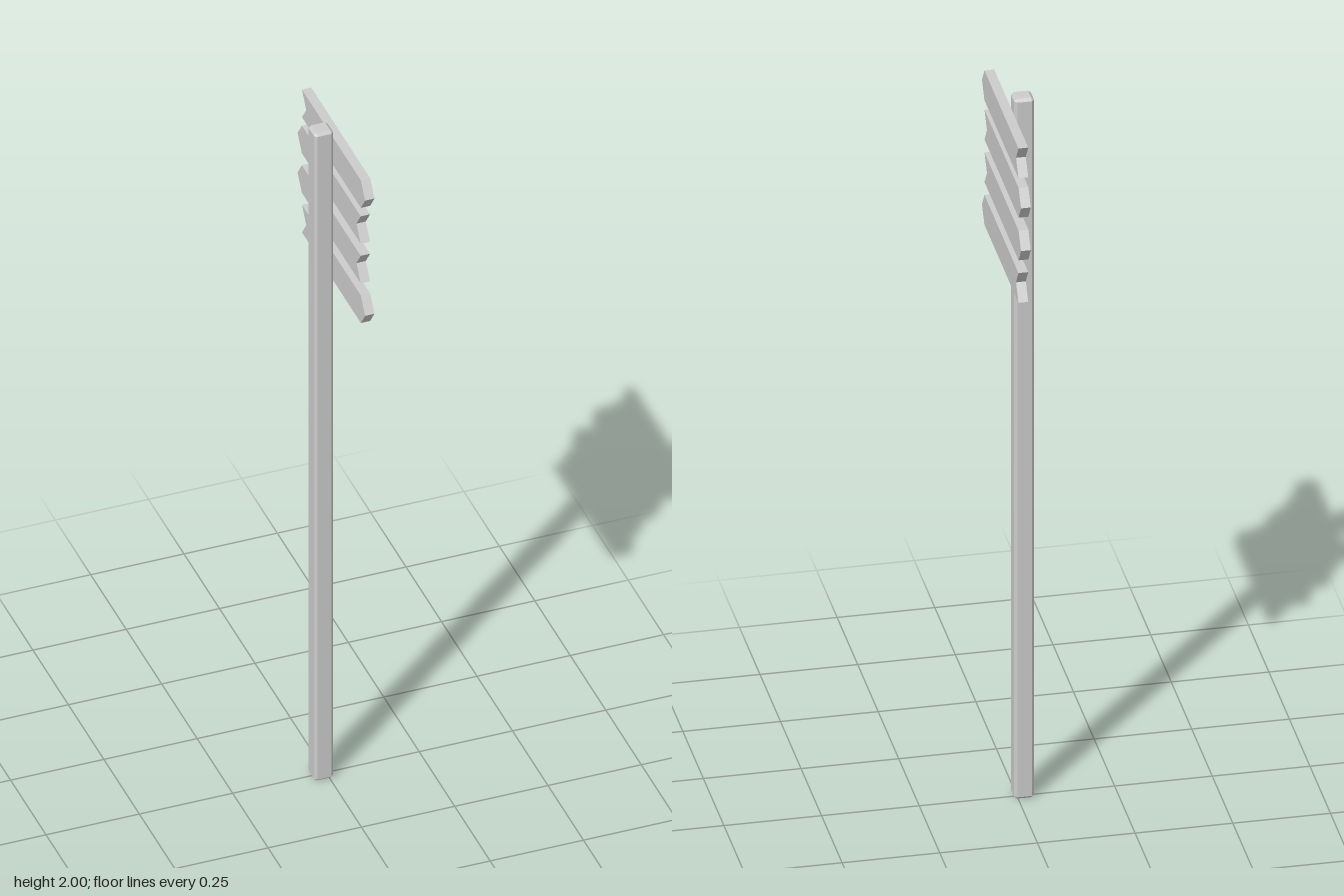
import * as THREE from 'three';
import { ConvexGeometry } from 'three/addons/geometries/ConvexGeometry.js';

const material = new THREE.MeshStandardMaterial({ color: 0xcccccc, flatShading: true });

// Box with every edge cut at 45 degrees, as the hull of its 24 corners
function chamferedBox(w, h, d, c) {
  const points = [];
  for (const x of [-w / 2, w / 2])
    for (const y of [-h / 2, h / 2])
      for (const z of [-d / 2, d / 2])
        for (const [a, b, e] of [[0, 1, 1], [1, 0, 1], [1, 1, 0]])
          points.push(new THREE.Vector3(
            x - Math.sign(x) * c * a,
            y - Math.sign(y) * c * b,
            z - Math.sign(z) * c * e));
  return new ConvexGeometry(points);
}

// Arrow board: pointed end towards dir along z, notched tail at the other end
function arrowBoard(dir) {
  const half = 0.0425, thickness = 0.025;
  const outline = [
    [-0.207, -half], [0.208, -half], [0.238, 0],
    [0.208, half], [-0.207, half], [-0.177, 0],
  ].map(([u, v]) => new THREE.Vector2(-u * dir, v));
  const geometry = new THREE.ExtrudeGeometry(new THREE.Shape(outline), {
    depth: thickness, bevelEnabled: false,
  });
  return geometry.rotateY(Math.PI / 2);
}

export function createModel() {
  const group = new THREE.Group();

  // Square post with chamfered edges
  const post = new THREE.Mesh(chamferedBox(0.051, 2, 0.051, 0.007), material);
  post.name = 'post';
  post.position.set(-0.0155, 1, 0.005);
  group.add(post);

  // Four boards beside the post: outer two point forward, inner two backward
  const boards = [[1.924, 1], [1.812, -1], [1.69, -1], [1.568, 1]];
  boards.forEach(([y, dir], i) => {
    const board = new THREE.Mesh(arrowBoard(dir), material);
    board.name = `arrowBoard${i + 1}`;
    board.position.set(0.0145, y, 0);
    group.add(board);
  });

  return group;
}
